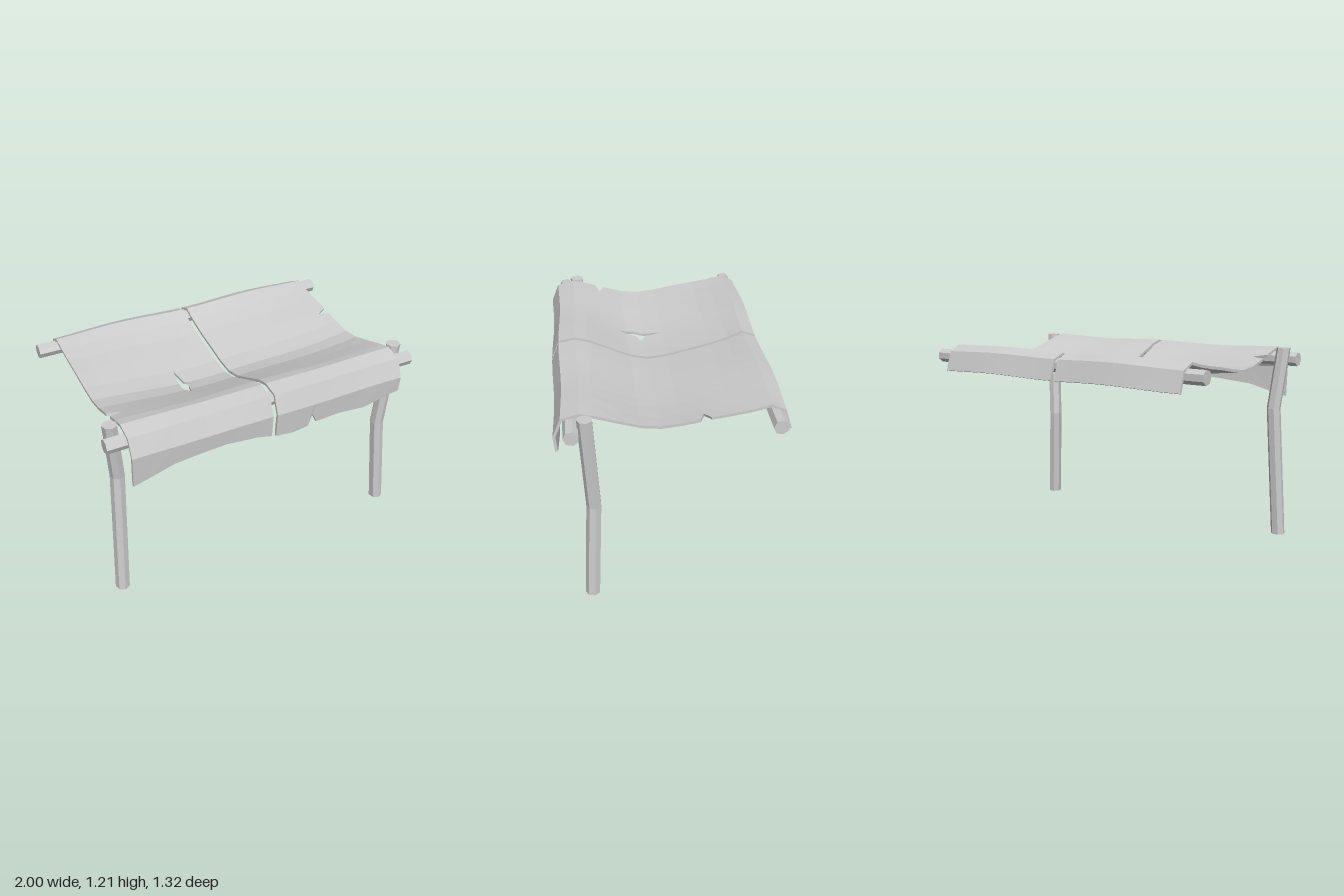
import * as THREE from 'three';

const material = new THREE.MeshStandardMaterial({ color: 0xcccccc, flatShading: true, side: THREE.DoubleSide });
const THICK = 0.016;

// piecewise linear lookup in [[key, value], ...] with rising keys
function lookup(table, k) {
  if (k <= table[0][0]) return table[0][1];
  for (let i = 1; i < table.length; i++) {
    const [a, va] = table[i - 1], [b, vb] = table[i];
    if (k <= b) return va + (vb - va) * (k - a) / (b - a);
  }
  return table[table.length - 1][1];
}

// height of the torn front hem along x
const hem = [[-0.89, 0.872], [-0.77, 0.9], [-0.63, 0.935], [-0.31, 0.96], [-0.11, 0.945], [-0.02, 0.925],
  [0.012, 0.915], [0.13, 0.902], [0.23, 0.912], [0.26, 0.985], [0.29, 0.925], [0.45, 0.93], [0.63, 0.915], [0.88, 0.97]];

// cloth section from front hem to back hem: z, y at the outer edges, y at the middle
const section = [
  [0.648, 0.9, 0.9], [0.657, 1.06, 1.06], [0.612, 1.17, 1.175], [0.51, 1.198, 1.195], [0.44, 1.182, 1.176],
  [0.3, 1.14, 1.115], [0.18, 1.107, 1.062], [0.07, 1.097, 1.04], [-0.05, 1.112, 1.056], [-0.19, 1.14, 1.092],
  [-0.32, 1.16, 1.124], [-0.43, 1.18, 1.16], [-0.53, 1.203, 1.2], [-0.612, 1.165, 1.168], [-0.65, 1.045, 1.045]];

// adds rows to the section where a tear has corners
function rowsWith(zs) {
  const rows = section.map(r => [...r]);
  for (const z of zs) {
    const i = rows.findIndex((r, n) => n > 4 && r[0] <= z);
    if (Math.abs(rows[i][0] - z) < 1e-6) continue;
    const p = rows[i - 1], q = rows[i], t = (z - p[0]) / (q[0] - p[0]);
    rows.splice(i, 0, [z, p[1] + t * (q[1] - p[1]), p[2] + t * (q[2] - p[2])]);
  }
  return rows;
}

// point on the upper face of the cloth
function clothPoint(row, j, x) {
  const mid = 1 - (x / 0.89) ** 2;
  let y = row[1] + (row[2] - row[1]) * mid;
  if (j === 0) y = lookup(hem, x);
  else y += 0.005 * Math.sin(x * 7 + row[0] * 3);
  const z = row[0] + 0.006 * Math.sin(x * 6 + 1.5) * (Math.abs(row[0]) > 0.5 ? 1 : 0);
  return new THREE.Vector3(x, y, z);
}

// thick sheet between a left and a right edge, each an [[z, x], ...] outline
function clothSheet(name, xs, left, right, zs, seam) {
  const rows = rowsWith(zs), nr = rows.length, nc = xs.length;
  const top = rows.map((row, j) => {
    const l = lookup(left, row[0]), r = lookup(right, row[0]);
    return xs.map((x, i) => clothPoint(row, j, i === 0 ? l : i === nc - 1 ? r : Math.min(r, Math.max(l, x))));
  });
  const bottom = top.map((line, j) => line.map((p, i) => {
    const a = top[Math.max(0, j - 1)][i], b = top[Math.min(nr - 1, j + 1)][i];
    const normal = new THREE.Vector3(0, -(b.z - a.z), b.y - a.y).normalize();
    return p.clone().addScaledVector(normal, -THICK);
  }));
  const out = [];
  const quad = (a, b, c, d) => [a, b, c, a, c, d].forEach(p => out.push(p.x, p.y, p.z));
  for (let j = 0; j < nr - 1; j++) {
    for (let i = 0; i < nc - 1; i++) {
      quad(top[j][i], top[j][i + 1], top[j + 1][i + 1], top[j + 1][i]);
      quad(bottom[j][i], bottom[j + 1][i], bottom[j + 1][i + 1], bottom[j][i + 1]);
    }
    // side walls, left out where two sheets join
    const open = rows[j][0] < 0.24 && rows[j + 1][0] > -0.06;
    const e = nc - 1;
    if (seam !== 'left' || open) quad(bottom[j][0], top[j][0], top[j + 1][0], bottom[j + 1][0]);
    if (seam !== 'right' || open) quad(top[j][e], bottom[j][e], bottom[j + 1][e], top[j + 1][e]);
  }
  const n = nr - 1;
  for (let i = 0; i < nc - 1; i++) {
    quad(bottom[0][i], bottom[0][i + 1], top[0][i + 1], top[0][i]);
    quad(top[n][i], top[n][i + 1], bottom[n][i + 1], bottom[n][i]);
  }
  const geo = new THREE.BufferGeometry();
  geo.setAttribute('position', new THREE.Float32BufferAttribute(out, 3));
  geo.computeVertexNormals();
  const mesh = new THREE.Mesh(geo, material);
  mesh.name = name;
  return mesh;
}

// crooked post with one bend
function leg(name, foot, bend, head) {
  const geo = new THREE.CylinderGeometry(0.044, 0.044, 2, 7, 2);
  const pos = geo.attributes.position;
  for (let i = 0; i < pos.count; i++) {
    const c = [foot, bend, head][Math.round(pos.getY(i)) + 1];
    pos.setXYZ(i, pos.getX(i) + c[0], c[1], pos.getZ(i) + c[2]);
  }
  geo.computeVertexNormals();
  const mesh = new THREE.Mesh(geo, material);
  mesh.name = name;
  return mesh;
}

export function createModel() {
  const group = new THREE.Group();

  // horizontal poles
  for (const [name, z] of [['frontRail', 0.56], ['backRail', -0.56]]) {
    const rail = new THREE.Mesh(new THREE.CylinderGeometry(0.044, 0.044, 2, 7), material);
    rail.name = name;
    rail.rotation.z = Math.PI / 2;
    rail.position.set(0, 1.125, z);
    group.add(rail);
  }

  // front posts
  group.add(leg('leftLeg', [0.942, 0, 0.485], [0.902, 0.61, 0.455], [0.935, 1.2, 0.485]));
  group.add(leg('rightLeg', [-0.94, 0, 0.485], [-0.9, 0.82, 0.445], [-0.935, 1.2, 0.485]));

  // right cloth: two sheets that join around a torn hole
  const holeLeft = [[-0.05, -0.31], [0.14, -0.345], [0.23, -0.32], [0.3, -0.31]];
  const holeRight = [[-0.05, -0.31], [0.06, -0.295], [0.09, -0.24], [0.12, -0.29], [0.23, -0.32], [0.3, -0.31]];
  const holeRows = [0.3, 0.23, 0.14, 0.12, 0.09, 0.06];
  group.add(clothSheet('rightClothOuter', [-0.89, -0.77, -0.63, -0.53, -0.42, -0.31],
    [[0.3, -0.885], [0.33, -0.8], [0.36, -0.885]], holeLeft, [0.36, 0.33, ...holeRows], 'right'));
  group.add(clothSheet('rightClothInner', [-0.31, -0.21, -0.11, -0.018],
    holeRight, [[0, -0.016]], holeRows, 'left'));

  // left cloth with a nick in its outer edge
  group.add(clothSheet('leftCloth', [0.012, 0.13, 0.23, 0.26, 0.29, 0.37, 0.45, 0.54, 0.63, 0.76, 0.88],
    [[0, 0.012]], [[-0.2, 0.88], [-0.165, 0.815], [-0.14, 0.88]], [-0.14, -0.165, -0.2]));

  return group;
}
